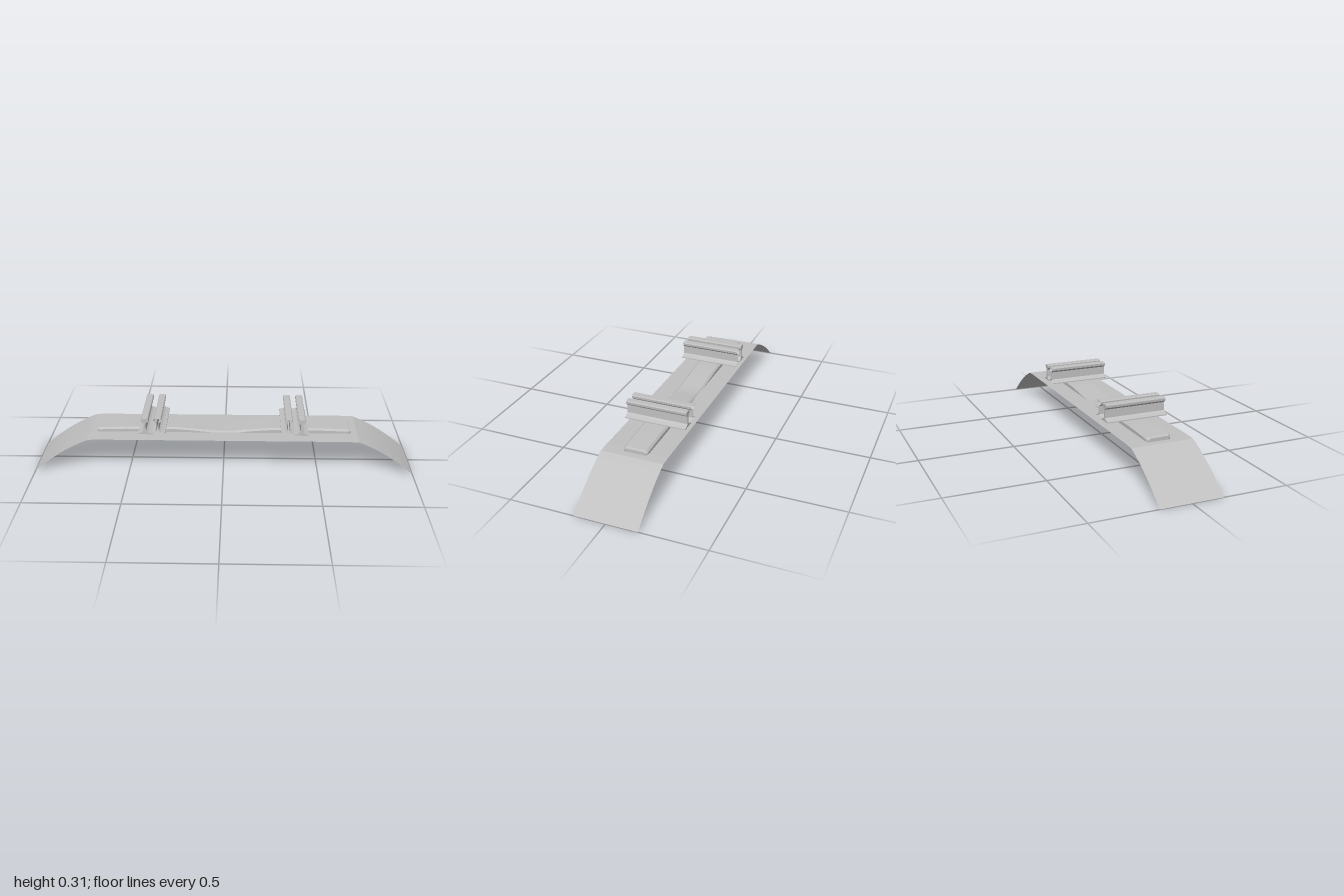
import * as THREE from 'three';

const steel = new THREE.MeshStandardMaterial({ color: 0xc0c0c0, side: THREE.DoubleSide });
steel.name = 'grey';

// Joins rows of points into a flat-shaded skin
function loft(rows) {
  const pos = [];
  const tri = (a, b, c) => {
    if (a.equals(b) || b.equals(c) || a.equals(c)) return;
    for (const p of [a, b, c]) pos.push(p.x, p.y, p.z);
  };
  for (let i = 0; i < rows.length - 1; i++) {
    for (let j = 0; j < rows[i].length - 1; j++) {
      const a = rows[i][j], b = rows[i + 1][j], c = rows[i + 1][j + 1], d = rows[i][j + 1];
      tri(a, d, b);
      tri(b, d, c);
    }
  }
  const g = new THREE.BufferGeometry();
  g.setAttribute('position', new THREE.Float32BufferAttribute(pos, 3));
  g.computeVertexNormals();
  return g;
}

const v = (x, y, z) => new THREE.Vector3(x, y, z);
const HALF = 0.162; // half length of rails and ballast along z

function part(geometry, name) {
  const m = new THREE.Mesh(geometry, steel);
  m.name = name;
  return m;
}

// Thin ballast bed: flat crown with shoulders rolling down to the ground
function ballast() {
  const side = [[0.65, 0.186]];
  for (let i = 0; i <= 8; i++) {
    const u = (i / 8) * 0.29;
    side.push([0.71 + u, 0.184 - 0.4 * u - 0.808 * u * u]);
  }
  side[side.length - 1][1] = 0;
  const profile = [...side.map(([x, y]) => [-x, y]).reverse(), ...side];
  return loft(profile.map(([x, y]) => [v(x, y, -HALF), v(x, y, HALF)]));
}

// Trough sleeper: open below, bevelled top, dipped in the middle
function sleeper() {
  const half = [[0, 0.192], [0.04, 0.1935], [0.1, 0.199], [0.16, 0.205], [0.21, 0.209],
    [0.25, 0.212], [0.3, 0.213], [0.52, 0.212], [0.662, 0.207], [0.676, 0.203]];
  const stations = [...half.slice(1).map(([x, y]) => [-x, y]).reverse(), ...half];
  const rows = stations.map(([x, y]) => {
    const w = Math.abs(x) > 0.67 ? 0.055 : 0.064, b = 0.009;
    return [v(x, 0.15, -w), v(x, y - b, -w), v(x, y, b - w),
      v(x, y, w - b), v(x, y - b, w), v(x, 0.15, w)];
  });
  const cap = (x) => Array.from({ length: 6 }, () => v(x, 0.15, 0));
  return loft([cap(-0.676), ...rows, cap(0.676)]);
}

// Rail outline, right half from foot to head, mirrored
const right = [[0.037, 0.22], [0.037, 0.225], [0.016, 0.231], [0.006, 0.238], [0.005, 0.28],
  [0.009, 0.284], [0.018, 0.291], [0.019, 0.303], [0.015, 0.308]];
const outline = [...right, ...right.map(([x, y]) => [-x, y]).reverse()];

// Running rail: solid with closed ends
function runningRail() {
  const shape = new THREE.Shape(outline.map(([x, y]) => new THREE.Vector2(x, y)));
  return new THREE.ExtrudeGeometry(shape, { depth: 2 * HALF, bevelEnabled: false })
    .translate(0, 0, -HALF);
}

// Check rail: same outline with open ends
function checkRail() {
  const loop = [...outline, outline[0]];
  return loft([-HALF, HALF].map((z) => loop.map(([x, y]) => v(x, y, z))));
}

export function createModel() {
  const model = new THREE.Group();
  model.name = 'trackSection';
  model.add(part(ballast(), 'ballastBed'), part(sleeper(), 'sleeper'));
  for (const s of [-1, 1]) {
    const name = s > 0 ? 'left' : 'right';
    const rail = part(runningRail(), name + 'RunningRail');
    rail.position.x = s * 0.407;
    const check = part(checkRail(), name + 'CheckRail');
    check.position.x = s * 0.34;
    model.add(rail, check);
  }
  return model;
}
